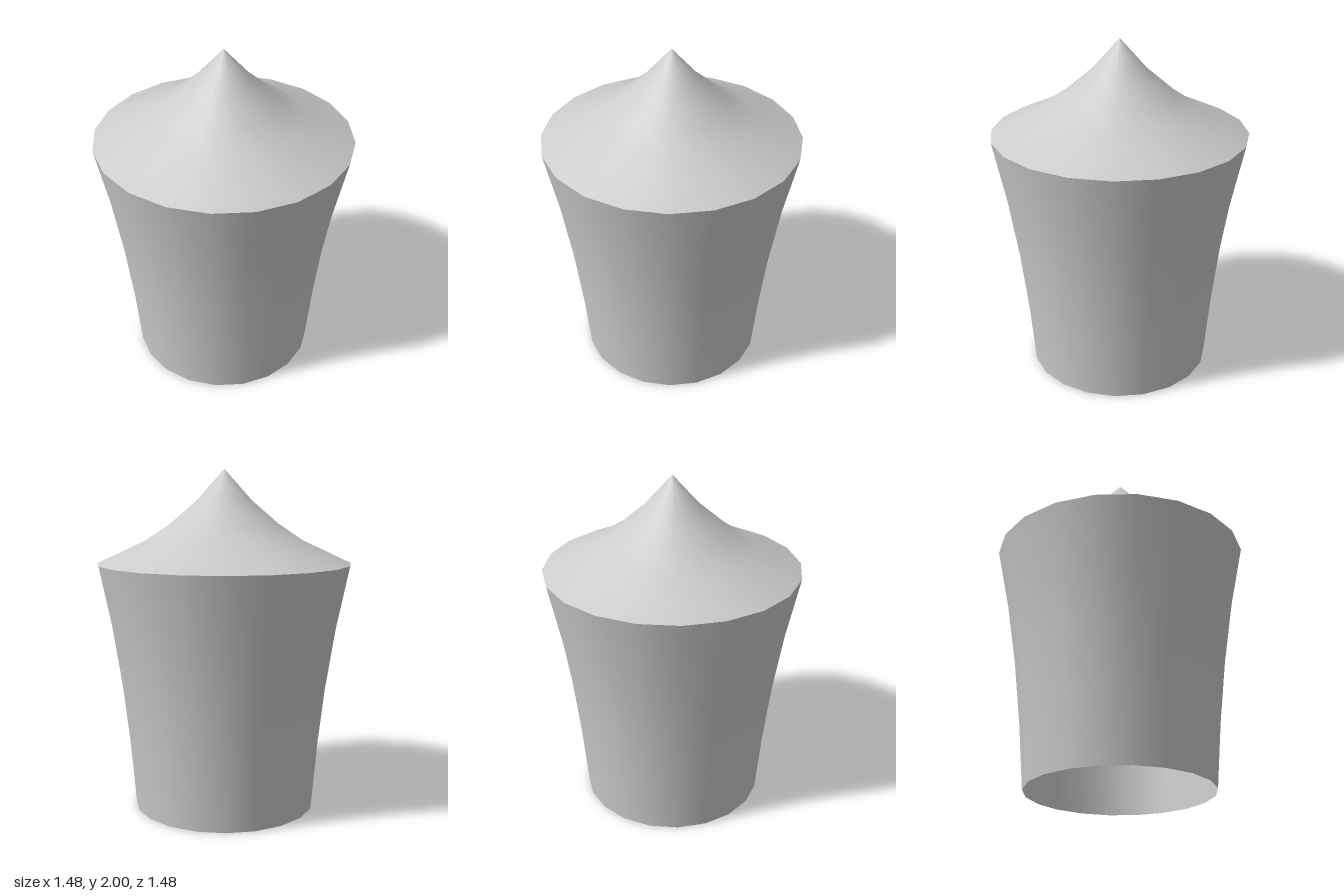
import * as THREE from 'three';

const SIDES = 20;

// Turned surface from [radius, height] pairs, listed bottom to top
function turned(name, profile, material) {
  const points = profile.map(([r, y]) => new THREE.Vector2(r, y));
  const mesh = new THREE.Mesh(new THREE.LatheGeometry(points, SIDES), material);
  mesh.name = name;
  return mesh;
}

export function createModel() {
  const group = new THREE.Group();
  group.name = 'roundTower';
  const material = new THREE.MeshStandardMaterial({ color: 0xcccccc, side: THREE.DoubleSide });

  // Flaring wall, open at the bottom
  group.add(turned('wall', [
    [0.537, 0], [0.568, 0.364], [0.61, 0.729], [0.667, 1.093], [0.742, 1.457],
  ], material));

  // Concave pointed roof
  group.add(turned('roof', [
    [0.742, 1.457], [0.458, 1.59], [0.318, 1.684], [0.16, 1.82], [0, 2],
  ], material));

  return group;
}
